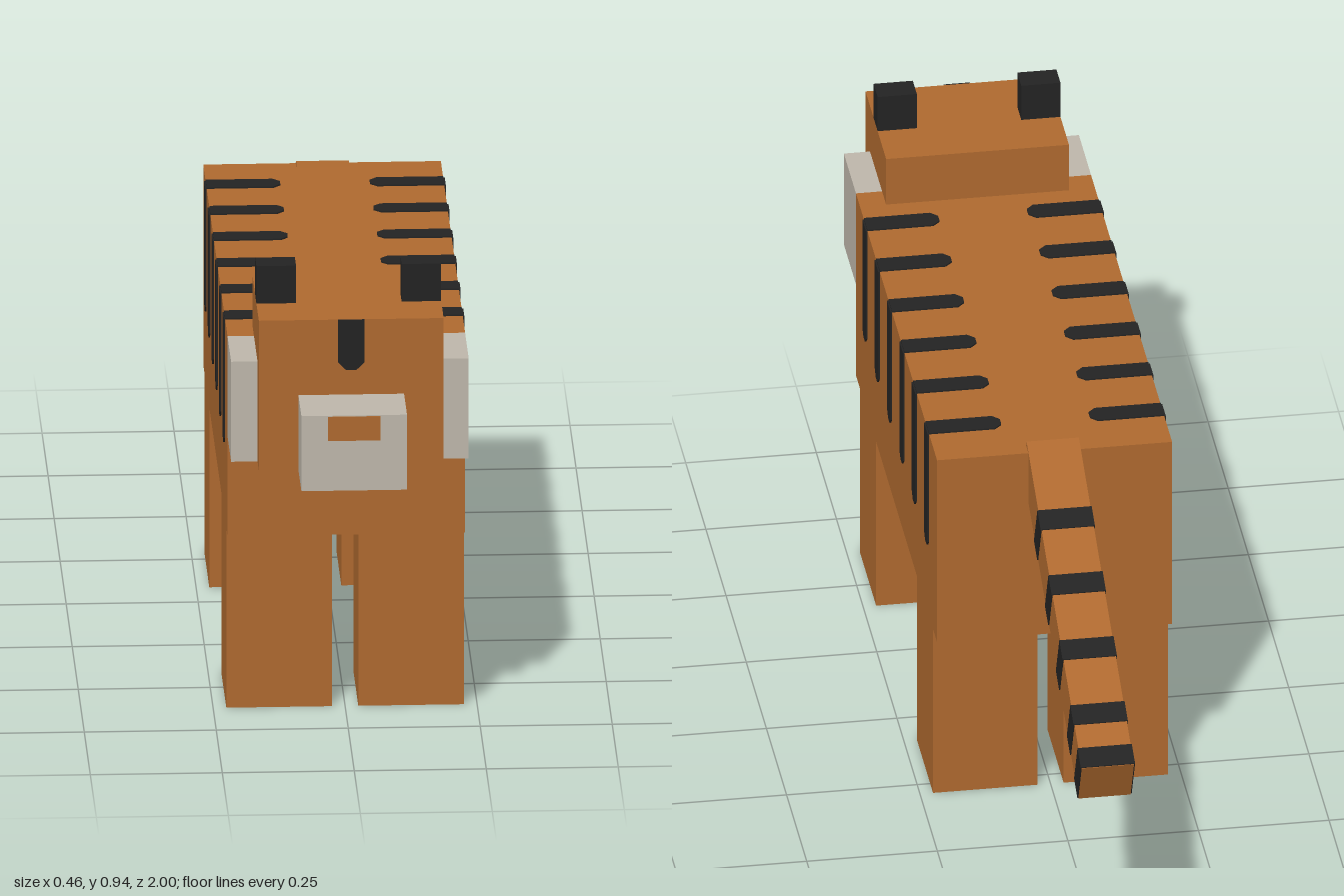
import * as THREE from 'three';

const fur = new THREE.MeshStandardMaterial({ color: 0xae692f });
fur.name = 'orangeFur';
const pale = new THREE.MeshStandardMaterial({ color: 0xbdb6aa });
pale.name = 'paleFur';
const black = new THREE.MeshStandardMaterial({ color: 0x232323 });
black.name = 'blackFur';

// Box given by its minimum and maximum corners
function box(parent, name, material, min, max) {
  const size = max.map((v, i) => v - min[i]);
  const mesh = new THREE.Mesh(new THREE.BoxGeometry(...size), material);
  mesh.position.set(...max.map((v, i) => (v + min[i]) / 2));
  mesh.name = name;
  parent.add(mesh);
  return mesh;
}

// Thin painted stripe with a clipped tip, running from `start` against the `along` axis
function stripe(parent, name, width, length, start, along, normal) {
  const w = width / 2, c = width * 0.3;
  const shape = new THREE.Shape([
    [-w, 0], [-w, -length + c], [-w + c, -length], [w - c, -length], [w, -length + c], [w, 0],
  ].map(([x, y]) => new THREE.Vector2(x, y)));
  const geometry = new THREE.ExtrudeGeometry(shape, { depth: 0.003, bevelEnabled: false });
  const mesh = new THREE.Mesh(geometry, black);
  const y = new THREE.Vector3(...along), z = new THREE.Vector3(...normal);
  const x = new THREE.Vector3().crossVectors(y, z);
  mesh.quaternion.setFromRotationMatrix(new THREE.Matrix4().makeBasis(x, y, z));
  mesh.position.set(...start);
  mesh.name = name;
  parent.add(mesh);
}

export function createModel() {
  const model = new THREE.Group();
  model.name = 'tiger';

  // Body with a pale underside
  box(model, 'body', [fur, fur, fur, pale, fur, fur], [-0.225, 0.36, -0.335], [0.225, 0.76, 0.67]);

  // Head, muzzle and nose
  const head = new THREE.Group();
  head.name = 'head';
  model.add(head);
  box(head, 'skull', fur, [-0.175, 0.56, 0.62], [0.175, 0.86, 0.875]);
  box(head, 'muzzle', pale, [-0.1, 0.56, 0.875], [0.1, 0.71, 0.998]);
  box(head, 'nose', fur, [-0.05, 0.66, 0.996], [0.05, 0.708, 1.0]);
  stripe(head, 'foreheadStripe', 0.05, 0.1, [0, 0.86, 0.875], [0, 1, 0], [0, 0, 1]);

  for (const s of [-1, 1]) {
    const side = s > 0 ? 'left' : 'right';
    const mirrored = (name, material, x0, x1, y0, y1, z0, z1) =>
      box(name === 'Ear' || name === 'Cheek' ? head : model, side + name, material,
        [Math.min(s * x0, s * x1), y0, z0], [Math.max(s * x0, s * x1), y1, z1]);

    mirrored('Ear', black, 0.1, 0.175, 0.86, 0.935, 0.725, 0.775);
    mirrored('Cheek', pale, 0.175, 0.225, 0.56, 0.76, 0.67, 0.82);
    mirrored('FrontLeg', fur, 0.025, 0.225, 0, 0.36, 0.42, 0.62);
    mirrored('BackLeg', fur, 0.025, 0.225, 0, 0.36, -0.285, -0.085);

    // Stripes down the flank and in across the back
    for (let i = 0; i < 6; i++) {
      const z = 0.55 - i * 0.153;
      stripe(model, side + 'FlankStripe', 0.045, 0.25, [s * 0.225, 0.76, z], [0, 1, 0], [s, 0, 0]);
      stripe(model, side + 'BackStripe', 0.045, 0.14, [s * 0.225, 0.76, z], [s, 0, 0], [0, 1, 0]);
    }
  }

  // Drooping tail with bands over its top and sides
  const tail = new THREE.Group();
  tail.name = 'tail';
  tail.position.set(0, 0.772, -0.312);
  tail.rotation.x = -THREE.MathUtils.degToRad(25);
  box(tail, 'tailCore', fur, [-0.05, -0.1, -0.755], [0.05, 0, 0]);
  for (const d of [0.16, 0.31, 0.46, 0.61, 0.709]) {
    box(tail, 'tailBand', black, [-0.052, -0.099, -d - 0.045], [0.052, 0.002, -d]);
  }
  model.add(tail);

  return model;
}
